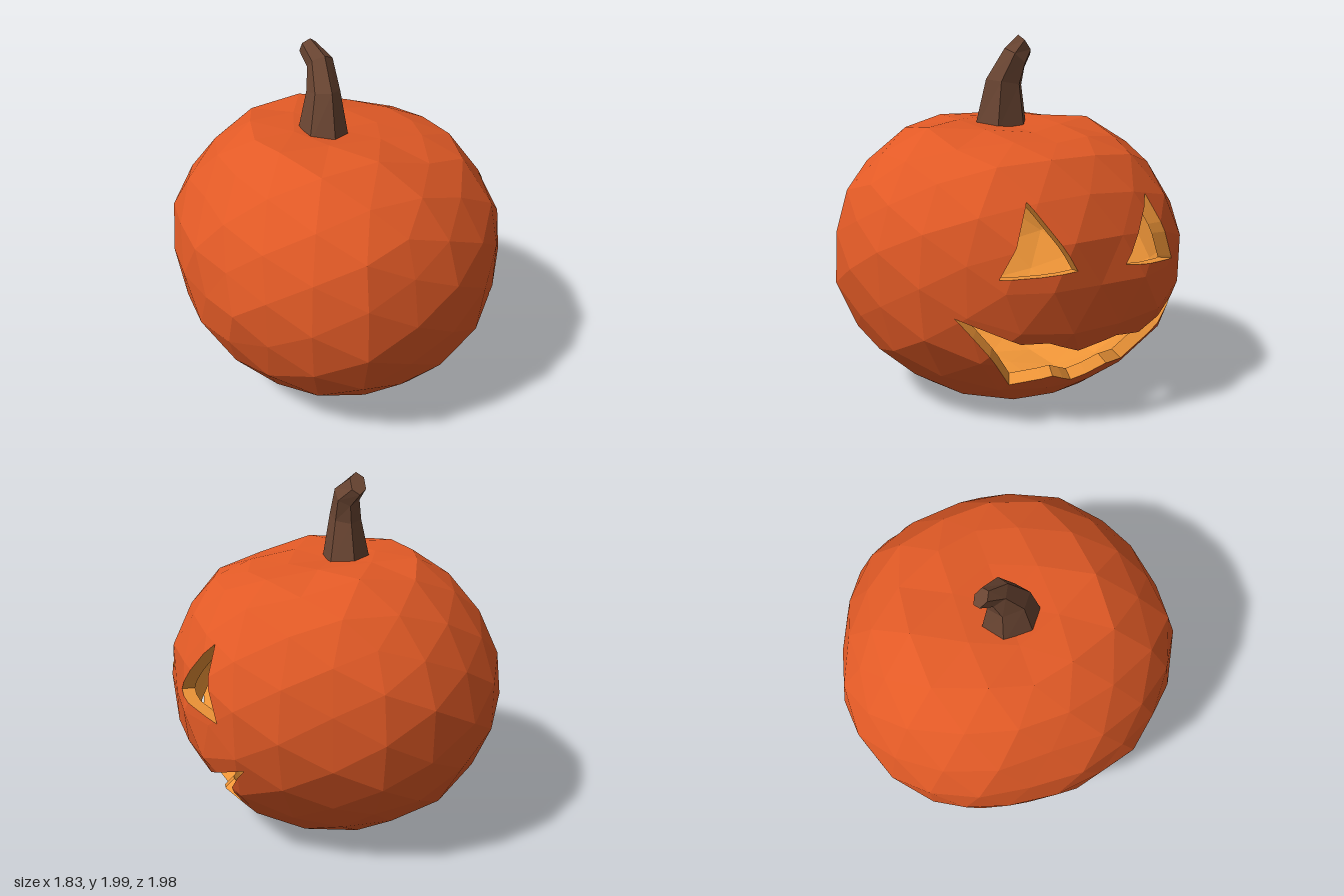
import * as THREE from 'three';

const V = (x, y, z) => new THREE.Vector3(x, y, z);
const CENTRE = V(0, 0.78, 0);
const WALL = 0.92; // inner skin relative to outer skin

// Half cross-section (radius factor, height) at equal polar steps, and plan radius every 22.5 degrees
const PROFILE = [[0, 1.5], [0.2, 1.51], [0.43, 1.57], [0.64, 1.47], [0.79, 1.33], [0.91, 1.17], [0.98, 1.0], [1, 0.8],
  [0.98, 0.6], [0.89, 0.4], [0.76, 0.24], [0.6, 0.11], [0.43, 0.015], [0.2, 0], [0, 0.02]];
const PLAN = [0.91, 0.94, 0.96, 0.98, 0.99, 1.02, 0.97, 0.94, 0.91, 0.945, 0.98, 1.0, 0.98, 0.945, 0.975, 0.94];

// Face openings as (z, y) outlines on the +x side
const EYES = [
  [[0.52, 0.87], [0.34, 1.23], [0.14, 0.89]],
  [[-0.16, 0.88], [-0.39, 1.2], [-0.56, 0.83]],
];
const UPPER_LIP = [[0.69, 0.66], [0.4, 0.52], [0.26, 0.515], [0.08, 0.44], [-0.16, 0.48], [-0.34, 0.45], [-0.67, 0.6]];
const LOWER_LIP = [[0.69, 0.66], [0.36, 0.23], [0.15, 0.27], [0, 0.2], [-0.2, 0.27], [-0.36, 0.24], [-0.67, 0.6]];

function lerpTable(table, f) {
  const i = Math.min(Math.floor(f), table.length - 2);
  return [0, 1].map((k) => THREE.MathUtils.lerp(table[i][k], table[i + 1][k], f - i));
}

// Moves a point of the unit sphere onto the lumpy pumpkin surface
function toPumpkin(p) {
  const polar = Math.acos(THREE.MathUtils.clamp(p.y, -1, 1));
  let [r, y] = lerpTable(PROFILE, (polar / Math.PI) * (PROFILE.length - 1));
  const a = Math.atan2(p.z, p.x);
  const f = ((a / (Math.PI * 2) + 1) % 1) * 16;
  const i = Math.floor(f) % 16;
  r *= THREE.MathUtils.lerp(PLAN[i], PLAN[(i + 1) % 16], f - Math.floor(f));
  r *= 1.003 + 0.012 * Math.sin(p.x * 17 + p.y * 23 + p.z * 31);
  const x = r * Math.cos(a);
  // the rim of the hollow at the top is lower on the face side
  if (y > 1.48) y -= 0.06 * THREE.MathUtils.clamp(x / 0.4, 0, 1);
  return V(x, y, r * Math.sin(a));
}

// Splits a polygon by the (z, y) line a-b into [left part, right part]
function split(poly, a, b, sign) {
  const side = (p) => sign * ((b[0] - a[0]) * (p.y - a[1]) - (b[1] - a[1]) * (p.z - a[0]));
  const left = [], right = [];
  poly.forEach((p, i) => {
    const q = poly[(i + 1) % poly.length];
    const sp = side(p), sq = side(q);
    if (sp >= 0) left.push(p);
    if (sp <= 0) right.push(p);
    if (sp * sq < 0) {
      const m = p.clone().lerp(q, sp / (sp - sq));
      left.push(m);
      right.push(m);
    }
  });
  return [left, right];
}

// Cuts a convex hole from a convex polygon: what stays, and what falls out
function subtract(poly, hole) {
  let area = 0;
  hole.forEach((a, i) => {
    const b = hole[(i + 1) % hole.length];
    area += a[0] * b[1] - b[0] * a[1];
  });
  const kept = [];
  let rest = poly;
  for (let i = 0; i < hole.length; i++) {
    const a = hole[i], b = hole[(i + 1) % hole.length];
    if (Math.hypot(a[0] - b[0], a[1] - b[1]) < 1e-6) continue;
    const [inside, outside] = split(rest, a, b, Math.sign(area));
    if (inside.length < 3) return { kept: [poly], rest: [] };
    if (outside.length > 2) kept.push(outside);
    rest = inside;
  }
  return { kept, rest };
}

function onOutline(m, outlines) {
  return outlines.some((line) => line.some((a, i) => {
    const b = line[(i + 1) % line.length];
    const dz = b[0] - a[0], dy = b[1] - a[1], len2 = dz * dz + dy * dy;
    if (len2 < 1e-9) return false;
    const t = THREE.MathUtils.clamp(((m.z - a[0]) * dz + (m.y - a[1]) * dy) / len2, 0, 1);
    return Math.hypot(a[0] + dz * t - m.z, a[1] + dy * t - m.y) < 1e-5;
  }));
}

// Flat-shaded mesh from convex polygons
function facetMesh(name, polys, color) {
  const points = [];
  polys.forEach((p) => {
    for (let i = 1; i < p.length - 1; i++) points.push(p[0], p[i], p[i + 1]);
  });
  const geometry = new THREE.BufferGeometry().setFromPoints(points);
  geometry.computeVertexNormals();
  const mesh = new THREE.Mesh(geometry, new THREE.MeshStandardMaterial({ color, flatShading: true }));
  mesh.name = name;
  return mesh;
}

function buildShell() {
  const mouth = [];
  for (let i = 0; i < 6; i++) mouth.push([UPPER_LIP[i], UPPER_LIP[i + 1], LOWER_LIP[i + 1], LOWER_LIP[i]]);
  const holes = [...EYES, ...mouth];
  const outlines = [...EYES, [...UPPER_LIP, ...LOWER_LIP.slice(1, -1).reverse()]];
  const inward = (p) => p.clone().sub(CENTRE).multiplyScalar(WALL).add(CENTRE);

  const sphere = new THREE.IcosahedronGeometry(1, 3).getAttribute('position');
  const skin = [], rims = [];
  for (let i = 0; i < sphere.count; i += 3) {
    const tri = [0, 1, 2].map((k) => toPumpkin(V().fromBufferAttribute(sphere, i + k)));
    let polys = [tri];
    if (tri[0].x + tri[1].x + tri[2].x > 0) {
      for (const hole of holes) {
        polys = polys.flatMap((poly) => {
          const { kept, rest } = subtract(poly, hole);
          // cut edges become the thickness of the wall
          rest.forEach((p, k) => {
            const q = rest[(k + 1) % rest.length];
            if (p.distanceTo(q) > 1e-5 && onOutline(p.clone().lerp(q, 0.5), outlines)) {
              rims.push([p, q, inward(q), inward(p)]);
            }
          });
          return kept;
        });
      }
    }
    skin.push(...polys);
  }
  const lining = skin.map((poly) => poly.map(inward).reverse());
  return [
    facetMesh('outerSkin', skin, 0xe25a26),
    facetMesh('innerFlesh', lining, 0xf09638),
    facetMesh('openingRims', rims, 0xf09638),
  ];
}

// Bent six-sided stem: each ring has a centre, a half-width in x and a tilted half-depth (y, z)
function buildStem() {
  const rings = [
    [V(-0.085, 1.48, 0.015), 0.135, 0, 0.17],
    [V(-0.075, 1.74, 0.0), 0.085, 0.02, 0.115],
    [V(-0.065, 1.875, -0.065), 0.07, 0.055, 0.065],
    [V(-0.1, 1.945, -0.15), 0.045, 0.055, 0.04],
  ].map(([c, rx, vy, vz]) => Array.from({ length: 6 }, (_, i) => {
    const a = (i / 6) * Math.PI * 2;
    return V(c.x + rx * Math.sin(a), c.y + vy * Math.cos(a), c.z + vz * Math.cos(a));
  }));
  const polys = [rings[3]];
  for (let k = 0; k < 3; k++) {
    for (let i = 0; i < 6; i++) {
      const j = (i + 1) % 6;
      polys.push([rings[k][i], rings[k][j], rings[k + 1][j], rings[k + 1][i]]);
    }
  }
  return facetMesh('stem', polys, 0x6b4633);
}

export function createModel() {
  const model = new THREE.Group();
  model.name = 'carvedPumpkin';
  model.add(...buildShell(), buildStem());
  return model;
}
